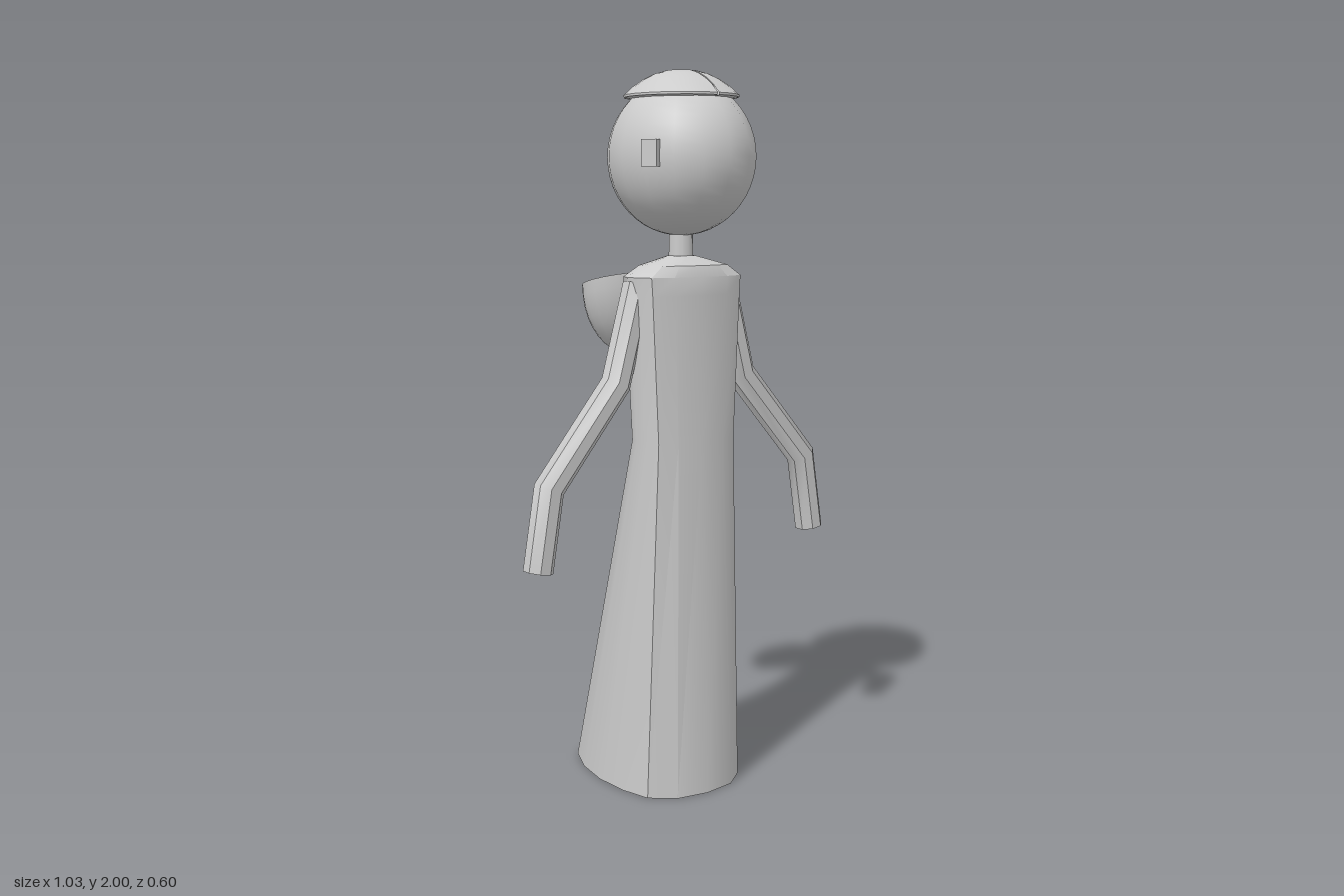
import * as THREE from 'three';
import { toCreasedNormals } from 'three/addons/utils/BufferGeometryUtils.js';

const CX = -0.01, CZ = 0.083; // axis of head and neck
const grey = new THREE.MeshStandardMaterial({ color: 0xcccccc, side: THREE.DoubleSide });

function part(name, geometry, parent) {
  const mesh = new THREE.Mesh(geometry, grey);
  mesh.name = name;
  parent.add(mesh);
  return mesh;
}

// Skin closed rings of [x, y, z] points, ordered bottom to top
function skin(rings, crease) {
  const n = rings[0].length, index = [];
  for (let i = 0; i < rings.length - 1; i++) {
    for (let j = 0; j < n; j++) {
      const a = i * n + j, b = i * n + (j + 1) % n;
      index.push(a, b, b + n, a, b + n, a + n);
    }
  }
  const g = new THREE.BufferGeometry();
  g.setAttribute('position', new THREE.Float32BufferAttribute(rings.flat(2), 3));
  g.setIndex(index);
  return toCreasedNormals(g, crease);
}

// Gown: one faceted half section, mirrored and scaled at each level
function gown() {
  const half = [[0, 1], [0.5, 0.97], [0.85, 0.87], [0.97, 0.7], [1, 0.49], [0.9, 0.27], [0.68, 0.08], [0, 0]];
  const section = [...half, ...half.slice(1, -1).reverse().map(([x, z]) => [-x, z])];
  // y, half width, front z, back z
  const levels = [
    [0, 0.19, 0.215, -0.303],
    [1, 0.152, 0.182, -0.008],
    [1.4, 0.174, 0.182, -0.015],
    [1.45, 0.178, 0.182, -0.017],
    [1.48, 0.13, 0.17, 0.005],
    [1.505, 0.035, 0.118, 0.05],
  ];
  return skin(levels.map(([y, w, f, b]) =>
    section.map(([x, z]) => [CX + x * w, y, b + z * (f - b)])), 0.5);
}

// Sleeve: octagonal tube with mitred bends, path runs from hand to shoulder
function sleeve(path) {
  const r = 0.041, pts = path.map(([x, y]) => new THREE.Vector2(x, y));
  const dir = pts.slice(1).map((p, i) => p.clone().sub(pts[i]).normalize());
  const ring = (p, i, radius) => {
    const before = dir[Math.max(i - 1, 0)], after = dir[Math.min(i, dir.length - 1)];
    const t = before.clone().add(after).normalize(), stretch = 1 / t.dot(after);
    return Array.from({ length: 8 }, (_, k) => {
      const a = (k + 0.5) * Math.PI / 4, s = Math.sin(a) * radius * stretch;
      return [p.x + t.y * s, p.y - t.x * s, 0.08 + Math.cos(a) * radius];
    });
  };
  const last = pts.length - 1;
  return skin([ring(pts[0], 0, 0), ...pts.map((p, i) => ring(p, i, r)), ring(pts[last], last, 0)], 0.6);
}

// Hood: open half ellipsoid whose rim slopes down towards the back
function hood() {
  const rings = [];
  for (let i = 0; i <= 10; i++) {
    const t = i / 10 * Math.PI / 2, ring = [];
    for (let j = 0; j < 24; j++) {
      const a = j / 24 * Math.PI * 2, z = 0.113 * Math.sin(t) * Math.cos(a);
      ring.push([CX + 0.165 * Math.sin(t) * Math.sin(a), 1.43 - 0.213 * Math.cos(t) + 0.26 * z, -0.138 + z]);
    }
    rings.push(ring);
  }
  return skin(rings, 1);
}

export function createModel() {
  const model = new THREE.Group();
  model.name = 'robedFigure';

  part('gown', gown(), model);
  part('leftSleeve', sleeve([[0.473, 0.686], [0.436, 0.908], [0.206, 1.165], [0.135, 1.43]]), model);
  part('rightSleeve', sleeve([[-0.478, 0.68], [-0.441, 0.9], [-0.226, 1.165], [-0.153, 1.43]]), model);
  part('hood', hood(), model);

  part('neck', new THREE.CylinderGeometry(0.032, 0.034, 0.11, 12, 1, true), model).position.set(CX, 1.545, CZ);

  const head = part('head', new THREE.SphereGeometry(1, 16, 24), model);
  head.scale.set(0.195, 0.211, 0.218);
  head.position.set(CX, 1.77, CZ);

  // Cap: two dimpled half domes with a thin seam between them
  const cap = new THREE.Group();
  cap.name = 'cap';
  const profile = [[0.13, 1.925], [0.15, 1.928], [0.15, 1.934], [0.128, 1.955], [0.1, 1.975],
    [0.07, 1.99], [0.04, 1.999], [0.025, 1.999], [0.012, 1.991], [0, 1.984]];
  for (const side of [1, -1]) {
    const dome = new THREE.LatheGeometry(profile.map(([x, y]) => new THREE.Vector2(x, y)),
      12, side > 0 ? 0 : Math.PI, Math.PI);
    part(side > 0 ? 'leftCapHalf' : 'rightCapHalf', toCreasedNormals(dome, 0.7), cap).position.x = side * 0.002;
  }
  cap.scale.z = 1.09;
  cap.position.set(CX, 0, CZ);
  model.add(cap);

  // Ears: small blocks on the sides of the head
  for (const [name, x, z, turn] of [['leftEar', 0.197, 0.104, -0.12], ['rightEar', -0.191, 0.193, 0.64]]) {
    const ear = part(name, new THREE.BoxGeometry(0.03, 0.07, 0.042), model);
    ear.position.set(x, 1.776, z);
    ear.rotation.y = turn;
  }
  return model;
}
